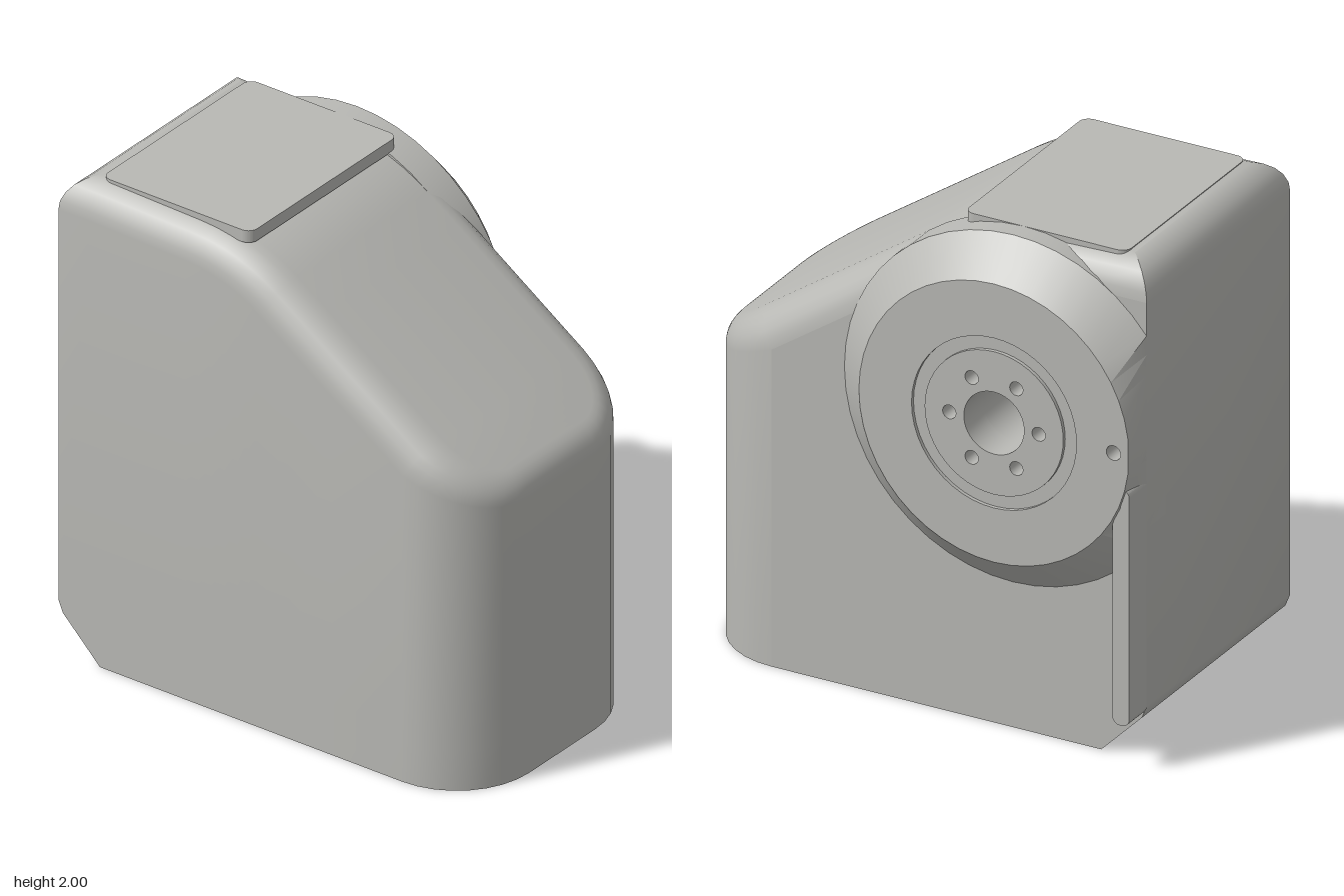
import * as THREE from 'three';
import { toCreasedNormals } from 'three/addons/utils/BufferGeometryUtils.js';

const HALF = 0.53, ZC = 0.07;         // half depth and middle plane of the housing
const FILLET = 0.14, CORNER = 0.33;   // top edge radius, rounded end radius
const HUB = { u: 0.39, y: 1.295 };    // hub axis, u = -x as seen from the back

const grey = new THREE.MeshStandardMaterial({ color: 0xb8b8b4, side: THREE.DoubleSide });
grey.name = 'grey';

function add(group, name, geo) {
  const m = new THREE.Mesh(geo, grey);
  m.name = name;
  group.add(m);
  return m;
}

// Point and normal of the top profile, moved inward by the fillet radius
function topAt(x) {
  const kx = -0.385, ky = 1.235, rho = 0.75 - FILLET;
  const s = THREE.MathUtils.clamp((x - kx) / rho, -1, 1);
  const a = THREE.MathUtils.clamp(Math.asin(s), 0.03, 0.6);
  const y = ky + rho * Math.cos(a) - Math.tan(a) * (x - kx - rho * Math.sin(a));
  return { y, nx: Math.sin(a), ny: Math.cos(a) };
}

// Inset plan outline with outward directions: front half, then mirrored back half
function planOutline() {
  const z0 = HALF - FILLET, half = [{ x: -0.95 + FILLET, z: z0, nx: -1, nz: 1 }];
  for (const x of [-0.81, -0.6, -0.37, -0.31, -0.25, -0.19, -0.13, -0.08, -0.04, 0.1, 0.3])
    half.push({ x, z: z0, nx: 0, nz: 1 });
  for (let i = 0; i <= 8; i++) {
    const f = (Math.PI / 2) * (1 - i / 8), c = Math.cos(f), s = Math.sin(f), r = CORNER - FILLET;
    half.push({ x: 0.62 + r * c, z: HALF - CORNER + r * s, nx: c, nz: s });
  }
  const back = half.map(p => ({ ...p, z: -p.z, nz: -p.nz })).reverse();
  return { half: half.length, pts: [...half, ...back] };
}

function buildHousing(group) {
  const { half, pts } = planOutline(), n = pts.length, STEPS = 6;
  const rings = [];
  // Walls, with the lower left edge chamfered
  for (const [y, minX] of [[0, -0.76], [0.17, -0.93], [0.22, -0.95]])
    rings.push(pts.map(p => [Math.max(minX, p.x + p.nx * FILLET), y, p.z + p.nz * FILLET]));
  // Rolled top edge
  for (let j = 0; j <= STEPS; j++) {
    rings.push(pts.map(p => {
      const t = topAt(p.x), w = Math.acos(p.nx * t.nx), k = j / STEPS;
      const a = FILLET * Math.sin((1 - k) * w) / Math.sin(w);
      const b = FILLET * Math.sin(k * w) / Math.sin(w);
      return [p.x + a * p.nx + b * t.nx, t.y + b * t.ny, p.z + a * p.nz];
    }));
  }
  const pos = [];
  const quad = (a, b, c, d) => {
    for (const v of [a, b, c, a, c, d]) pos.push(v[0], v[1], v[2] + ZC);
  };
  const isBack = i => Math.abs(rings[3][i][2] + HALF) < 1e-5;
  for (let j = 0; j < rings.length - 1; j++) {
    for (let i = 0; i < n; i++) {
      const k = (i + 1) % n;
      if (j < 3 && isBack(i) && isBack(k)) continue;   // flat back is made below
      quad(rings[j][i], rings[j][k], rings[j + 1][k], rings[j + 1][i]);
    }
  }
  // Top skin, in strips from front to back
  const top = rings[rings.length - 1];
  for (let i = 0; i < half - 1; i++) quad(top[i], top[i + 1], top[n - 2 - i], top[n - 1 - i]);
  const geo = new THREE.BufferGeometry();
  geo.setAttribute('position', new THREE.Float32BufferAttribute(pos, 3));
  add(group, 'housing', toCreasedNormals(geo, 0.5));

  // Flat back wall with the shaft opening
  const edge = rings[3].filter((p, i) => isBack(i)).map(p => new THREE.Vector2(-p[0], p[1]));
  const wall = new THREE.Shape([
    new THREE.Vector2(0.76, 0), new THREE.Vector2(-0.62, 0), ...edge,
    new THREE.Vector2(0.95, 0.22), new THREE.Vector2(0.93, 0.17)]);
  wall.holes.push(circle(HUB.u, HUB.y, 0.126));
  add(group, 'backWall', onBack(new THREE.ShapeGeometry(wall), ZC - HALF));

  // Base with its socket
  const base = new THREE.Shape(rings[0].map(p => new THREE.Vector2(p[0], p[2] + ZC)));
  base.holes.push(circle(0.3, 0.07, 0.16));
  add(group, 'base', new THREE.ShapeGeometry(base).rotateX(Math.PI / 2));
  const socket = new THREE.CylinderGeometry(0.16, 0.16, 0.6, 32, 1, true);
  add(group, 'baseSocket', socket.translate(0.3, 0.3, 0.07));
  const end = new THREE.CircleGeometry(0.16, 32).rotateX(Math.PI / 2);
  add(group, 'baseSocketEnd', end.translate(0.3, 0.6, 0.07));
}

// Circle as a path, cut off by the left side plane when it reaches past it
function circle(u, y, r, Kind = THREE.Path, seg = 48) {
  const pts = [];
  for (let i = 0; i < seg; i++) {
    const a = (i / seg) * Math.PI * 2;
    pts.push(new THREE.Vector2(Math.min(0.95, u + r * Math.cos(a)), y + r * Math.sin(a)));
  }
  return new Kind(pts);
}

const onBack = (geo, z) => geo.rotateY(Math.PI).translate(0, 0, z);

function roundedRect(x0, y0, x1, y1, r) {
  const s = new THREE.Shape();
  s.absarc(x1 - r, y0 + r, r, -Math.PI / 2, 0);
  s.absarc(x1 - r, y1 - r, r, 0, Math.PI / 2);
  s.absarc(x0 + r, y1 - r, r, Math.PI / 2, Math.PI);
  s.absarc(x0 + r, y0 + r, r, Math.PI, Math.PI * 1.5);
  s.closePath();
  return s;
}

const extrude = (shape, depth) =>
  new THREE.ExtrudeGeometry(shape, { depth, bevelEnabled: false, curveSegments: 6 });

function buildHub(group) {
  // Conical rim
  const profile = [[0.69, 0.32], [0.705, 0.32], [0.705, 0.46], [0.565, 0.6]];
  let rim = new THREE.LatheGeometry(profile.map(p => new THREE.Vector2(...p)), 48);
  rim.rotateX(-Math.PI / 2).translate(-HUB.u, HUB.y, 0);
  const p = rim.attributes.position;
  for (let i = 0; i < p.count; i++) p.setX(i, Math.max(-0.95, p.getX(i)));
  rim.deleteAttribute('normal');
  rim.computeVertexNormals();
  add(group, 'hubRim', toCreasedNormals(rim, 0.5));

  // Face, shallow groove and bolt plate
  const ring = (name, outer, inner, z, extra = []) => {
    const s = circle(HUB.u, HUB.y, outer, THREE.Shape);
    s.holes.push(circle(HUB.u, HUB.y, inner), ...extra);
    add(group, name, toCreasedNormals(onBack(extrude(s, z - 0.46), -0.46), 0.5));
  };
  ring('hubFace', 0.565, 0.345, 0.6, [circle(0.89, HUB.y, 0.03, THREE.Path, 16)]);
  ring('hubGroove', 0.345, 0.29, 0.585);
  const bolts = [];
  for (let i = 0; i < 6; i++) {
    const a = i * Math.PI / 3;
    bolts.push(circle(HUB.u + 0.187 * Math.cos(a), HUB.y + 0.187 * Math.sin(a), 0.028, THREE.Path, 16));
  }
  ring('boltPlate', 0.29, 0.126, 0.6, bolts);

  // Shaft bore
  const bore = new THREE.CylinderGeometry(0.126, 0.126, 0.5, 48, 1, true).rotateX(Math.PI / 2);
  add(group, 'shaftBore', bore.translate(-HUB.u, HUB.y, -0.21));
  const end = new THREE.CircleGeometry(0.126, 48);
  add(group, 'shaftBoreEnd', onBack(end.translate(HUB.u, HUB.y, 0), 0.04));
}

export function createModel() {
  const model = new THREE.Group();
  model.name = 'hubHousing';
  buildHousing(model);
  buildHub(model);

  // Raised lid on the top
  const lid = extrude(roundedRect(-0.82, -0.38, -0.14, 0.51, 0.04), 0.05);
  add(model, 'topPlate', lid.rotateX(Math.PI / 2).translate(0, 2, 0));

  // Upright rib below the hub
  const rib = extrude(roundedRect(-0.95, 0.19, -0.88, 1.15, 0.03), 0.13);
  add(model, 'backRib', rib.translate(0, 0, -0.59));
  return model;
}
